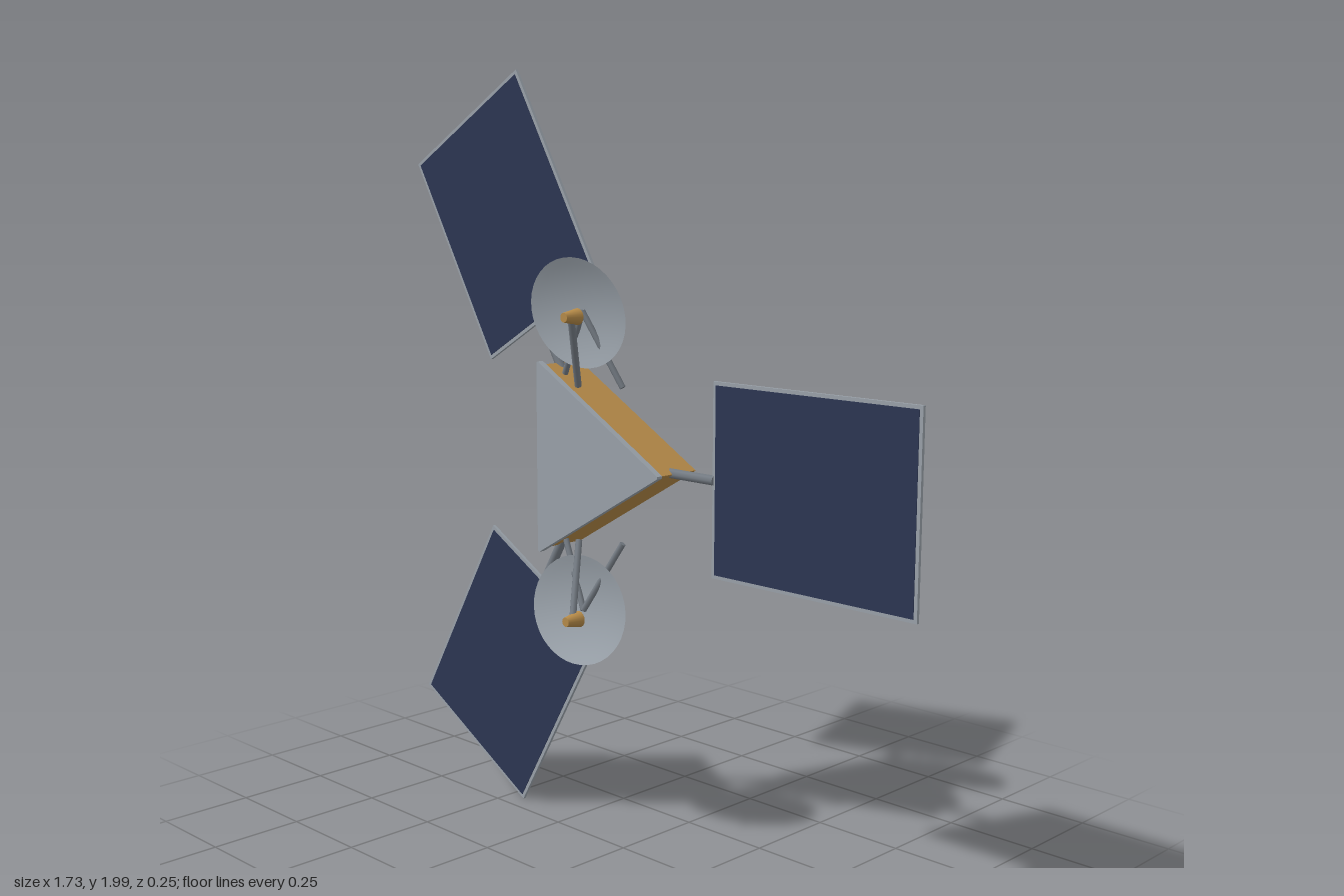
import * as THREE from 'three';

const mat = (name, color, side = THREE.FrontSide) => {
  const m = new THREE.MeshStandardMaterial({ color, side });
  m.name = name;
  return m;
};

export function createModel() {
  const root = new THREE.Group();
  root.name = 'satellite';

  const gold = mat('gold foil', 0xb58a48);
  const grey = mat('light grey', 0x99a1a9);
  const dishGrey = mat('dish grey', 0x99a1a9, THREE.DoubleSide);
  const metal = mat('strut metal', 0x747b83);
  const navy = mat('solar cell navy', 0x2c3552);

  const CX = -0.15, CY = 1.0; // hub axis
  const V = (x, y, z) => new THREE.Vector3(x, y, z);

  const add = (parent, name, geo, material) => {
    const mesh = new THREE.Mesh(geo, material);
    mesh.name = name;
    parent.add(mesh);
    return mesh;
  };

  // Straight round rod between two points
  const rod = (parent, name, a, b, r) => {
    const mesh = add(parent, name, new THREE.CylinderGeometry(r, r, a.distanceTo(b), 8), metal);
    mesh.position.copy(a).add(b).multiplyScalar(0.5);
    mesh.quaternion.setFromUnitVectors(V(0, 1, 0), b.clone().sub(a).normalize());
  };

  // Triangular prism with slightly cut corners, one corner toward +x
  const prism = (name, R, cut, zBack, zFront, material) => {
    const pts = [];
    for (let i = 0; i < 3; i++) {
      const a = (i * Math.PI * 2) / 3;
      for (const s of [-1, 1]) {
        const p = new THREE.Vector2(R - cut, s * cut * Math.tan(Math.PI / 6));
        pts.push(p.rotateAround(new THREE.Vector2(), a));
      }
    }
    const geo = new THREE.ExtrudeGeometry(new THREE.Shape(pts), { depth: zFront - zBack, bevelEnabled: false });
    add(root, name, geo, material).position.set(CX, CY, zBack);
  };
  prism('body', 0.281, 0.001, -0.125, 0.004, gold);
  prism('frontPlate', 0.294, 0.005, 0.004, 0.022, grey);

  // Three solar wings, 120 degrees apart
  for (let i = 0; i < 3; i++) {
    const wing = new THREE.Group();
    wing.name = 'solarWing' + (i + 1);
    wing.position.set(CX, CY, -0.053);
    wing.rotation.z = (i * Math.PI * 2) / 3;
    rod(wing, 'boom', V(0.26, 0, 0), V(0.41, 0, 0), 0.0125);
    add(wing, 'panelFrame', new THREE.BoxGeometry(0.605, 0.482, 0.008), grey).position.set(0.7085, 0, 0);
    add(wing, 'solarCells', new THREE.BoxGeometry(0.587, 0.464, 0.002), navy).position.set(0.7085, 0, 0.0045);
    root.add(wing);
  }

  // Shallow oval dish opening toward +z
  const profile = [];
  for (let i = 0; i <= 8; i++) profile.push(new THREE.Vector2(Math.max(i / 8, 0.0001), 0.03 * (i / 8) ** 2));
  const dishGeo = new THREE.LatheGeometry(profile, 40);
  dishGeo.rotateX(Math.PI / 2);
  dishGeo.scale(0.172, 0.142, 1);

  // Upper and lower antennas, mirrored about the hub
  for (const s of [1, -1]) {
    const antenna = new THREE.Group();
    antenna.name = s > 0 ? 'upperAntenna' : 'lowerAntenna';
    antenna.position.set(CX, CY, 0);

    const dish = add(antenna, 'dish', dishGeo, dishGrey);
    dish.position.set(0, s * 0.388, -0.015);
    dish.rotation.x = s * 0.14;

    // V-shaped support behind the dish
    for (const k of [-1, 1]) {
      rod(antenna, 'dishStrut', V(k * 0.11, s * 0.2, -0.038), V(0, s * 0.388, -0.003), 0.008);
    }

    // Feed arm and horn, wide end toward the dish
    rod(antenna, 'feedArm', V(0, s * 0.2, 0.012), V(0.069, s * 0.382, 0.1), 0.009);
    const horn = add(antenna, 'feedHorn', new THREE.CylinderGeometry(0.012, 0.021, 0.047, 16), gold);
    horn.rotation.x = Math.PI / 2;
    horn.position.set(0.07, s * 0.383, 0.102);
    root.add(antenna);
  }

  return root;
}
